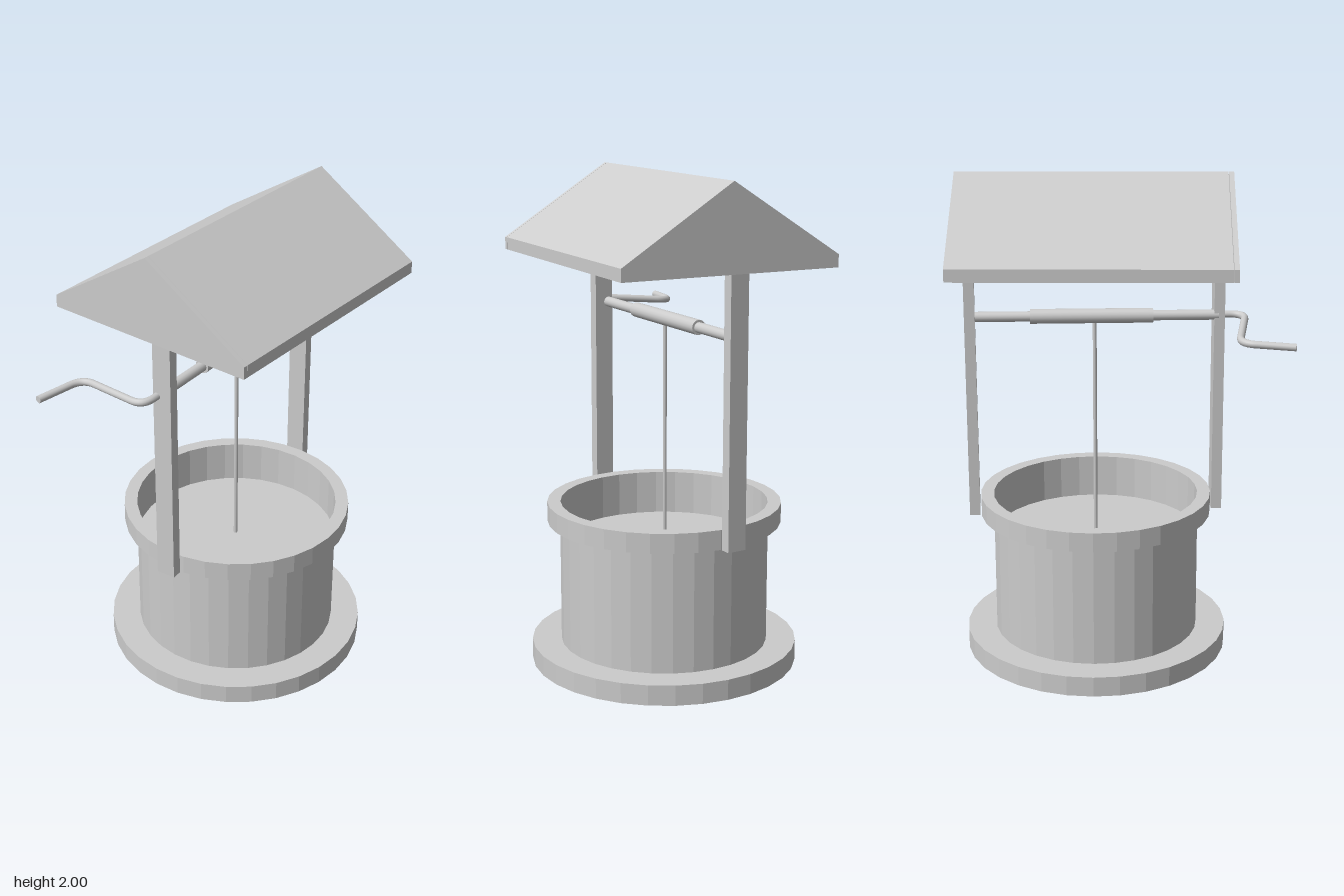
import * as THREE from 'three';

export function createModel() {
  const group = new THREE.Group();
  const flat = new THREE.MeshStandardMaterial({ color: 0xcccccc, flatShading: true });
  const smooth = new THREE.MeshStandardMaterial({ color: 0xcccccc });
  const centreZ = -0.117;

  const add = (name, geometry, material, x = 0, y = 0, z = 0) => {
    const mesh = new THREE.Mesh(geometry, material);
    mesh.name = name;
    mesh.position.set(x, y, z);
    group.add(mesh);
    return mesh;
  };

  // Faceted well: wide foot, drum wall, overhanging rim and the floor inside
  const profile = [
    [0, 0], [0.545, 0], [0.545, 0.083], [0.425, 0.083], [0.425, 0.59],
    [0.477, 0.59], [0.477, 0.67], [0.423, 0.67], [0.423, 0.49], [0, 0.49],
  ].map(([r, y]) => new THREE.Vector2(r, y));
  add('well', new THREE.LatheGeometry(profile, 32), flat, 0, 0, centreZ);

  // Two posts, slightly turned, on the outside of the rim
  for (const [name, side] of [['frontPost', 1], ['backPost', -1]]) {
    const post = add(name, new THREE.BoxGeometry(0.08, 1.1, 0.043), flat,
      side * 0.0425, 1.14, centreZ + side * 0.5);
    post.rotation.y = 0.09;
  }

  // Hollow gabled roof: two sloping boards with eaves, closed by a gable at each end
  const outline = [[-0.455, 1.66], [0.455, 1.66], [0.455, 1.71], [0, 2], [-0.455, 1.71]];
  const inside = [[0.433, 1.66], [0.433, 1.70], [0, 1.975], [-0.433, 1.70], [-0.433, 1.66]];
  const extrude = (points, depth) => new THREE.ExtrudeGeometry(
    new THREE.Shape(points.map(([x, y]) => new THREE.Vector2(x, y))),
    { depth, bevelEnabled: false });
  const boards = [outline[0], ...inside.slice().reverse(), ...outline.slice(1)];
  add('roofBoards', extrude(boards, 1.055), flat, 0, 0, -0.645);
  add('frontGable', extrude(outline, 0.02), flat, 0, 0, 0.412);
  add('backGable', extrude(outline, 0.02), flat, 0, 0, -0.665);

  // Axle with a thicker winding drum, and the rope hanging from it
  const axle = new THREE.Group();
  axle.name = 'axle';
  axle.position.set(-0.003, 1.42, centreZ);
  axle.rotation.y = 0.047;
  for (const [name, radius, length, z] of [['rod', 0.021, 0.99, 0.005], ['windingDrum', 0.03, 0.495, -0.012]]) {
    const part = new THREE.Mesh(new THREE.CylinderGeometry(radius, radius, length, 16), smooth);
    part.name = name;
    part.rotation.x = Math.PI / 2;
    part.position.z = z;
    axle.add(part);
  }
  group.add(axle);
  add('rope', new THREE.CylinderGeometry(0.008, 0.008, 0.91, 8), smooth, -0.003, 0.945, centreZ);

  // Crank: straight runs joined by rounded bends
  const corners = [
    [0.02, 1.422, 0.37], [0.024, 1.422, 0.492], [-0.32, 1.392, 0.447], [-0.356, 1.386, 0.662],
  ].map((p) => new THREE.Vector3(...p));
  const path = new THREE.CurvePath();
  let from = corners[0];
  for (let i = 1; i < corners.length - 1; i++) {
    const toward = (q) => corners[i].clone().add(
      q.clone().sub(corners[i]).setLength(0.065));
    const start = toward(corners[i - 1]), end = toward(corners[i + 1]);
    path.add(new THREE.LineCurve3(from, start));
    path.add(new THREE.QuadraticBezierCurve3(start, corners[i], end));
    from = end;
  }
  path.add(new THREE.LineCurve3(from, corners[3]));
  add('crank', new THREE.TubeGeometry(path, 64, 0.015, 12), smooth);
  const cap = add('crankEnd', new THREE.CircleGeometry(0.015, 12), smooth, ...corners[3].toArray());
  cap.lookAt(corners[3].clone().multiplyScalar(2).sub(corners[2]));

  return group;
}
